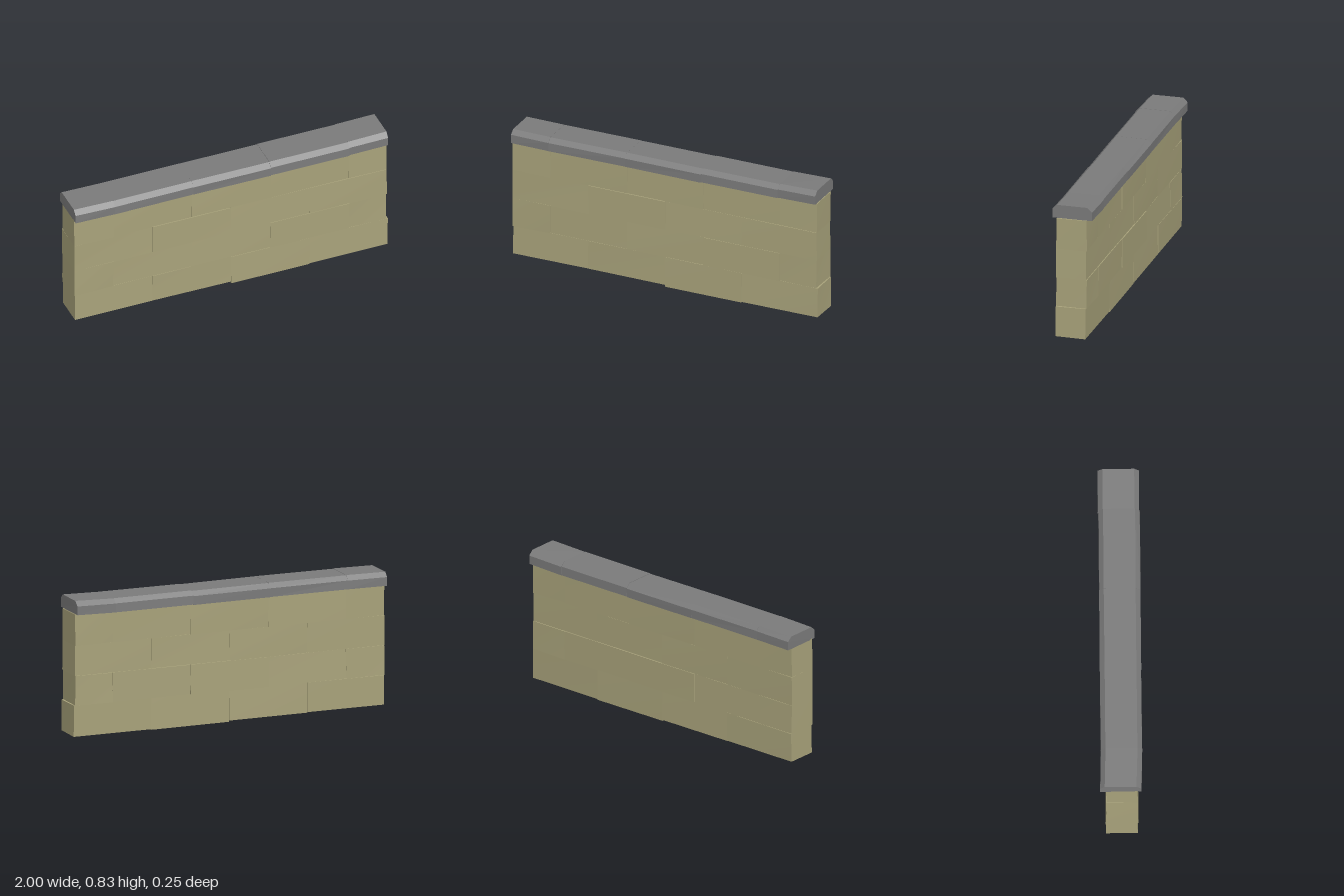
import * as THREE from 'three';

export function createModel() {
  const group = new THREE.Group();
  const stone = new THREE.MeshStandardMaterial({ color: 0xa9a37b });
  stone.name = 'sandy stone';
  const slate = new THREE.MeshStandardMaterial({ color: 0x7b7b7b });
  slate.name = 'grey coping stone';

  // Seeded wobble so every stone is slightly irregular
  let seed = 7;
  const jitter = (amount) => {
    seed = (seed * 16807) % 2147483647;
    return (seed / 2147483647 - 0.5) * 2 * amount;
  };

  // Moves each distinct corner once, keeping coincident vertices together
  function roughen(geometry, ax, ay, az) {
    const p = geometry.attributes.position;
    const moved = new Map();
    for (let i = 0; i < p.count; i++) {
      const key = [p.getX(i), p.getY(i), p.getZ(i)].map((v) => v.toFixed(4)).join();
      if (!moved.has(key)) moved.set(key, [jitter(ax), jitter(ay), jitter(az)]);
      const [dx, dy, dz] = moved.get(key);
      p.setXYZ(i, p.getX(i) + dx, p.getY(i) + dy, p.getZ(i) + dz);
    }
    geometry.computeVertexNormals();
    return geometry;
  }

  function add(parent, name, geometry, material) {
    const mesh = new THREE.Mesh(geometry, material);
    mesh.name = name;
    parent.add(mesh);
  }

  // Four courses in running bond; each block is [x0, x1, front z, back z, bottom y shift]
  const levels = [0.013, 0.196, 0.375, 0.558, 0.748];
  const courses = [
    [[-0.995, -0.5, 0.096, -0.093, 0.004], [-0.5, 0, 0.094, -0.09, 0.002],
      [0, 0.5, 0.1, -0.088, -0.008], [0.5, 0.997, 0.096, -0.086, -0.004]],
    [[-0.997, -0.75, 0.097, -0.091, 0], [-0.75, -0.25, 0.095, -0.09, 0], [-0.25, 0.25, 0.094, -0.094, 0],
      [0.25, 0.75, 0.099, -0.09, 0], [0.75, 0.99, 0.096, -0.091, 0]],
    [[-0.997, -0.5, 0.095, -0.09, 0], [-0.5, 0, 0.098, -0.089, 0],
      [0, 0.5, 0.095, -0.09, 0], [0.5, 0.992, 0.097, -0.088, 0]],
    [[-0.997, -0.75, 0.096, -0.09, 0], [-0.75, -0.25, 0.095, -0.092, 0], [-0.25, 0.25, 0.096, -0.091, 0],
      [0.25, 0.75, 0.094, -0.09, 0], [0.75, 0.992, 0.096, -0.09, 0]],
  ];
  const wall = new THREE.Group();
  wall.name = 'wall';
  courses.forEach((blocks, row) => {
    for (const [x0, x1, front, back, shift] of blocks) {
      const y0 = levels[row] + shift, y1 = levels[row + 1];
      const block = new THREE.BoxGeometry(x1 - x0, y1 - y0, front - back);
      block.translate((x0 + x1) / 2, (y0 + y1) / 2, (front + back) / 2);
      add(wall, 'stoneBlock', roughen(block, 0.002, 0.002, 0.003), stone);
    }
  });
  group.add(wall);

  // Chamfered coping profile, drawn with shape x = -z so it extrudes along +x
  const profile = new THREE.Shape([
    [-0.122, 0.744], [0.122, 0.744], [0.122, 0.797], [0.094, 0.824], [-0.094, 0.824], [-0.122, 0.797],
  ].map(([x, y]) => new THREE.Vector2(x, y)));

  // Coping stones: [x0, x1, y shift left, y shift right, z shift left, z shift right]
  const stones = [
    [-0.998, -0.75, -0.002, -0.001, -0.005, 0.001], [-0.75, -0.25, -0.001, 0, 0.001, 0],
    [-0.25, 0.245, 0, -0.002, 0, 0], [0.245, 0.745, 0.001, 0.001, 0, 0],
    [0.745, 0.992, 0.002, 0.007, -0.004, -0.002],
  ];
  const coping = new THREE.Group();
  coping.name = 'coping';
  for (const [x0, x1, yl, yr, zl, zr] of stones) {
    const cap = new THREE.ExtrudeGeometry(profile, { depth: x1 - x0, bevelEnabled: false });
    cap.rotateY(Math.PI / 2).translate(x0, 0, 0);
    const p = cap.attributes.position;
    for (let i = 0; i < p.count; i++) {
      const right = p.getX(i) > (x0 + x1) / 2;
      p.setY(i, p.getY(i) + (right ? yr : yl));
      p.setZ(i, p.getZ(i) + (right ? zr : zl));
    }
    add(coping, 'copingStone', roughen(cap, 0.001, 0.001, 0.0015), slate);
  }
  group.add(coping);

  return group;
}
